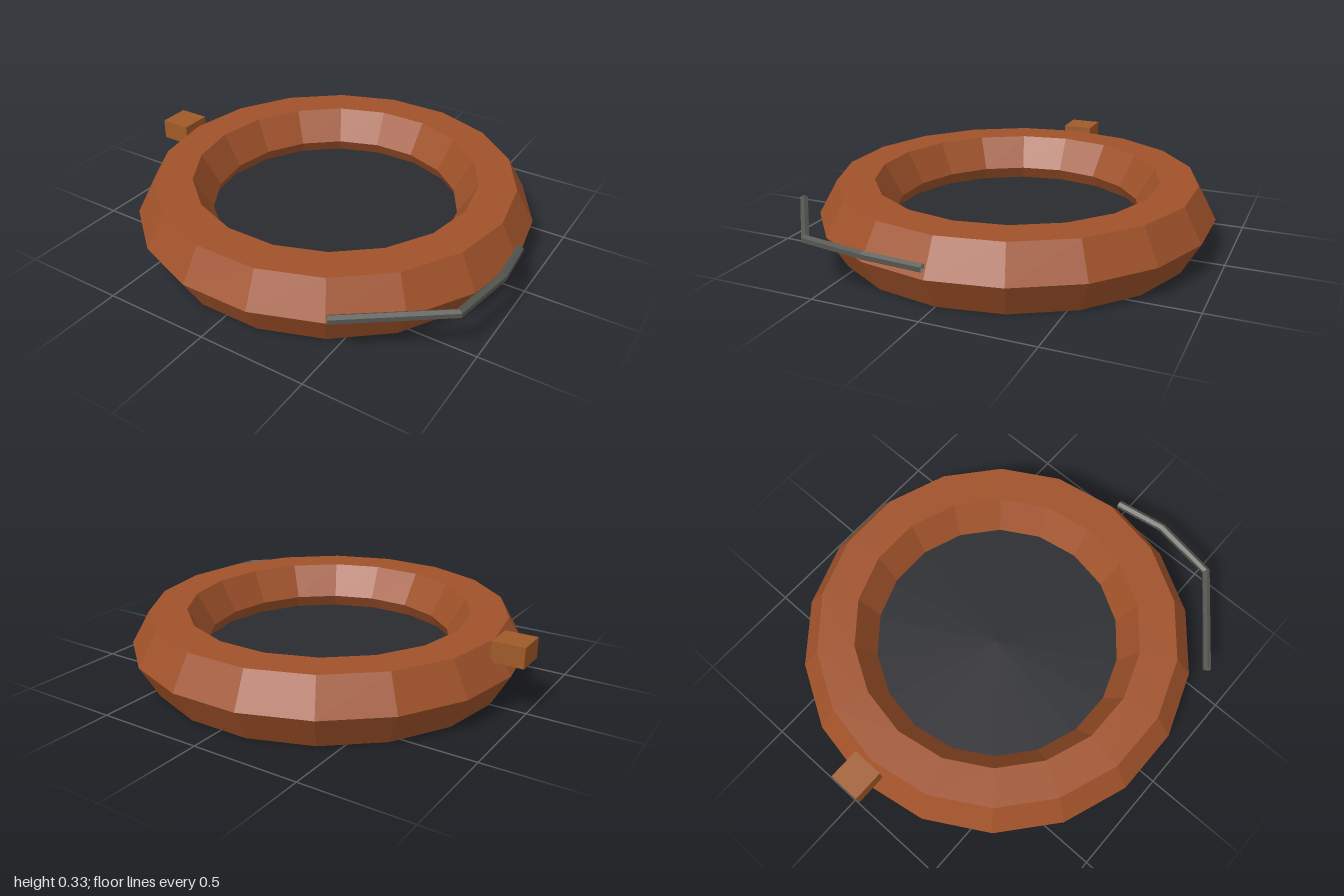
import * as THREE from 'three';

const mat = (color, side = THREE.FrontSide) =>
  new THREE.MeshStandardMaterial({ color, flatShading: true, side });

// Straight-sided path that is sampled exactly at its corners
class CornerPath extends THREE.Curve {
  constructor(points) {
    super();
    this.points = points;
  }
  index(u) { return Math.round(u * (this.points.length - 1)); }
  getPointAt(u) { return this.points[this.index(u)].clone(); }
  getPoint(u) { return this.getPointAt(u); }
  getTangentAt(u) {
    const p = this.points, i = this.index(u), dir = new THREE.Vector3();
    if (i > 0) dir.add(p[i].clone().sub(p[i - 1]).normalize());
    if (i < p.length - 1) dir.add(p[i + 1].clone().sub(p[i]).normalize());
    return dir.normalize();
  }
}

export function createModel() {
  const group = new THREE.Group();
  const cx = 0.015; // ring centre
  const add = (name, geometry, material, x = 0, y = 0, z = 0) => {
    const mesh = new THREE.Mesh(geometry, material);
    mesh.name = name;
    mesh.position.set(x, y, z);
    group.add(mesh);
  };

  // Inflated ring with a six-sided section
  const ring = new THREE.TorusGeometry(0.76, 0.175, 6, 18);
  ring.rotateX(Math.PI / 2);
  ring.scale(1, 0.155 / (0.175 * Math.sin(Math.PI / 3)), 1);
  add('ring', ring, mat(0xa0522a), cx, 0.155);

  // Dark floor inside the ring
  const floor = new THREE.CylinderGeometry(0.65, 0.65, 0.03, 18);
  floor.rotateY(Math.PI / 2);
  add('floor', floor, mat(0x2a2b30), cx, 0.077);

  // Small block on the rim
  add('rimBlock', new THREE.BoxGeometry(0.15, 0.096, 0.15), mat(0xa05a28), -0.925, 0.282);

  // Rope trailing around the side
  const rope = new CornerPath([
    [0.952, 0.207, 0], [0.979, 0.23, 0.25], [0.93, 0.23, 0.557], [0.525, 0.23, 0.862],
  ].map((p) => new THREE.Vector3(...p)));
  add('rope', new THREE.TubeGeometry(rope, 3, 0.02, 6, false), mat(0x555550, THREE.DoubleSide));

  return group;
}
